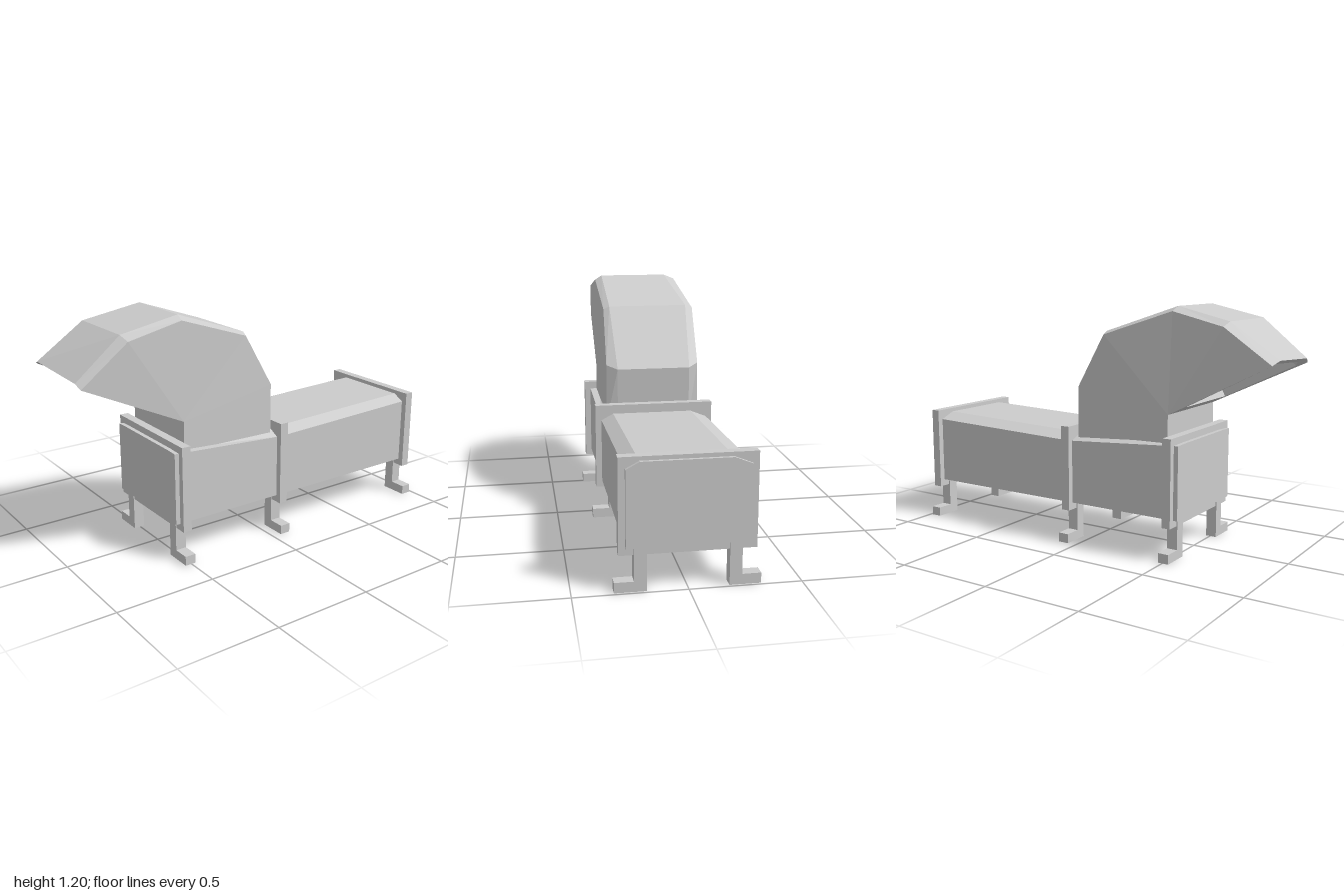
import * as THREE from 'three';

const material = new THREE.MeshStandardMaterial({ color: 0xcccccc, flatShading: true, side: THREE.DoubleSide });

// Collects polygons as triangle fans, corners counter-clockwise from outside
function faceted(name, polygons) {
  const positions = [];
  for (const p of polygons)
    for (let i = 1; i < p.length - 1; i++) positions.push(...p[0], ...p[i], ...p[i + 1]);
  const geometry = new THREE.BufferGeometry();
  geometry.setAttribute('position', new THREE.Float32BufferAttribute(positions, 3));
  geometry.computeVertexNormals();
  const mesh = new THREE.Mesh(geometry, material);
  mesh.name = name;
  return mesh;
}

// Quads between two loops of equal length
function strip(a, b, closed = true) {
  const quads = [];
  for (let i = 0; i < a.length - (closed ? 0 : 1); i++) {
    const j = (i + 1) % a.length;
    quads.push([a[i], a[j], b[j], b[i]]);
  }
  return quads;
}

function box(name, w, h, d, x, y, z) {
  const mesh = new THREE.Mesh(new THREE.BoxGeometry(w, h, d), material);
  mesh.name = name;
  mesh.position.set(x, y, z);
  return mesh;
}

// Long trough with a chamfered lid line that dips in the middle
function makeBody() {
  const section = (z, shoulder, top) => [
    [-0.27, 0.2, z], [0.27, 0.2, z], [0.27, shoulder, z],
    [0.21, top, z], [-0.19, top, z], [-0.27, shoulder, z]];
  const front = section(0.55, 0.56, 0.562);
  const middle = section(-0.075, 0.518, 0.55);
  const back = section(-1, 0.545, 0.577);
  return faceted('body', [...strip(middle, front), ...strip(back, middle), front, [...back].reverse()]);
}

// Curved hood with a recessed mouth facing forward and down
function makeHood() {
  // Each station: left side, left top, right top, right side; lip to rear base
  const stations = [
    [[-0.237, 0.955, 0.985], [-0.185, 0.975, 1], [0.18, 0.953, 0.985], [0.215, 0.93, 0.975]],
    [[-0.237, 1.115, 0.75], [-0.19, 1.137, 0.76], [0.18, 1.137, 0.76], [0.235, 1.115, 0.75]],
    [[-0.205, 1.175, 0.475], [-0.15, 1.197, 0.475], [0.2, 1.197, 0.475], [0.235, 1.175, 0.475]],
    [[-0.237, 1.055, 0.115], [-0.2, 1.07, 0.11], [0.2, 1.07, 0.11], [0.23, 1.055, 0.115]],
    [[-0.237, 0.79, -0.035], [-0.19, 0.77, -0.06], [0.18, 0.77, -0.06], [0.235, 0.79, -0.035]],
    [[-0.237, 0.5, -0.035], [-0.19, 0.5, -0.045], [0.18, 0.5, -0.045], [0.235, 0.5, -0.035]]];
  const polygons = [];
  for (let i = 0; i < stations.length - 1; i++)
    polygons.push(...strip(stations[i], stations[i + 1], false));

  // Flat cheeks and the neck below the mouth
  const cornerL = [-0.237, 0.695, 0.475], cornerR = [0.235, 0.695, 0.475];
  const baseL = [-0.237, 0.5, 0.475], baseR = [0.235, 0.5, 0.475];
  polygons.push([cornerR, baseR, ...stations.map(s => s[3]).reverse()]);
  polygons.push([cornerL, ...stations.map(s => s[0]), baseL]);
  polygons.push([baseL, baseR, cornerR, cornerL]);

  // Mouth rim, recess walls and recess floor
  const lip = stations[0];
  const outer = [cornerL, cornerR, lip[3], lip[2], lip[1], lip[0]];
  const inner = [
    [-0.21, 0.735, 0.555], [0.205, 0.735, 0.555], [0.19, 0.915, 0.93],
    [0.165, 0.935, 0.945], [-0.165, 0.955, 0.955], [-0.21, 0.94, 0.945]];
  const deep = inner.map(([x, y, z], i) => i < 2 ? [x, y + 0.135, z - 0.07] : [x, y + 0.085, z - 0.1]);
  polygons.push(...strip(outer, inner), ...strip(inner, deep), deep);
  return faceted('hood', polygons);
}

export function createModel() {
  const model = new THREE.Group();
  model.name = 'hoodedTrough';
  model.add(makeBody(), makeHood());

  // Three supports: a plate around the body with two outward-turned legs
  for (const z of [0.505, -0.075, -0.96]) {
    const support = new THREE.Group();
    support.name = 'support';
    support.position.z = z;
    support.add(box('framePlate', 0.6, 0.43, 0.045, 0, 0.38, 0));
    for (const side of [-1, 1]) {
      support.add(box('leg', 0.055, 0.21, 0.055, side * 0.2075, 0.105, 0));
      support.add(box('foot', 0.085, 0.047, 0.055, side * 0.2775, 0.0235, 0));
    }
    model.add(support);
  }
  return model;
}
